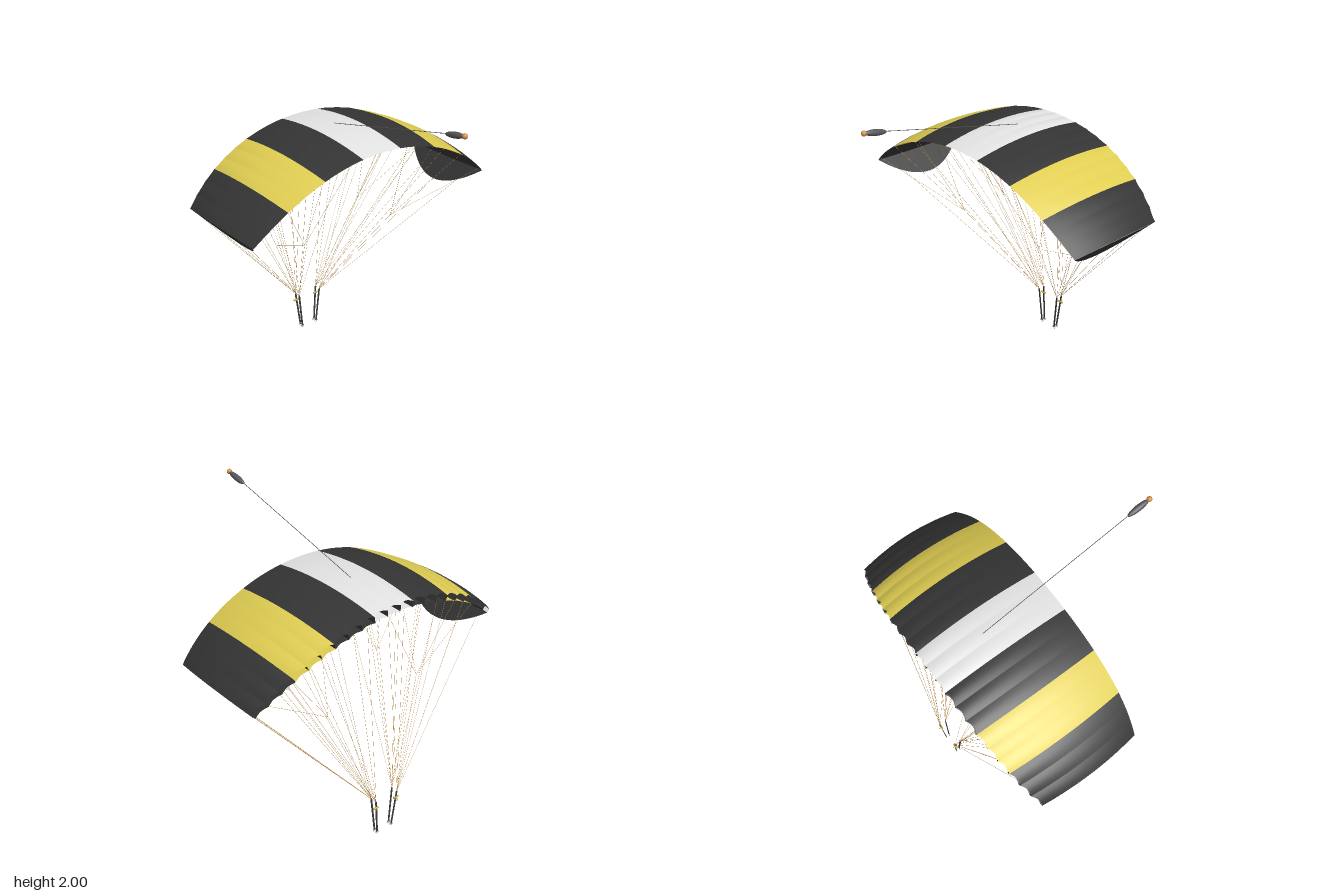
import * as THREE from 'three';
import { mergeGeometries } from 'three/addons/utils/BufferGeometryUtils.js';

const mat = (name, color, side = THREE.FrontSide) => {
  const m = new THREE.MeshStandardMaterial({ color, side });
  m.name = name;
  return m;
};

const PANELS = 7, CELLS_PER_PANEL = 3, CELLS = PANELS * CELLS_PER_PANEL;
const SPAN = THREE.MathUtils.degToRad(45.5); // half angle of the canopy arc
const ARC_Y = 0.33;                          // height of the arc centre

// Point on the canopy. s: -1..1 across the span, t: 0 tail .. 1 nose.
function canopyPoint(s, t, top) {
  const u = Math.abs(s), a = s * SPAN;
  const puff = Math.abs(Math.sin(Math.PI * (s + 1) / 2 * CELLS));
  const tail = 0.075 - 0.06 * u ** 4;
  const nose = -0.798 + 0.1 * u ** 3 + 0.016 * puff; // nose is scooped between ribs
  const grow = t * t;
  const r = top
    ? 1.322 + 0.17 * t * (1 - t) + 0.014 * t + 0.009 * puff * grow
    : 1.322 - (0.026 * Math.sin(Math.min(t / 0.7, 1) * Math.PI / 2)) * (1 - 0.6 * u ** 3) - 0.002 * puff * grow;
  return new THREE.Vector3(Math.sin(a) * r, ARC_Y + Math.cos(a) * r, THREE.MathUtils.lerp(tail, nose, t));
}

// Surface grid from a function of (u, v), each 0..1
function grid(fn, nu, nv) {
  const pos = [], idx = [];
  for (let j = 0; j <= nv; j++)
    for (let i = 0; i <= nu; i++) pos.push(...fn(i / nu, j / nv).toArray());
  for (let j = 0; j < nv; j++)
    for (let i = 0; i < nu; i++) {
      const a = j * (nu + 1) + i, b = a + 1, c = a + nu + 1, d = c + 1;
      idx.push(a, b, c, b, d, c);
    }
  const g = new THREE.BufferGeometry();
  g.setAttribute('position', new THREE.Float32BufferAttribute(pos, 3));
  g.setIndex(idx);
  g.computeVertexNormals();
  return g;
}

// Straight rod or strap between two points
function between(geometry, a, b) {
  const dir = b.clone().sub(a);
  const q = new THREE.Quaternion().setFromUnitVectors(new THREE.Vector3(0, 1, 0), dir.clone().normalize());
  return geometry.applyQuaternion(q).translate(...a.clone().add(b).multiplyScalar(0.5).toArray());
}
const rod = (a, b, r, sides = 4) => between(new THREE.CylinderGeometry(r, r, a.distanceTo(b), sides), a, b);

export function createModel() {
  const model = new THREE.Group();
  model.name = 'parafoil';
  const black = mat('black fabric', 0x343434, THREE.DoubleSide);
  const yellow = mat('yellow fabric', 0xdfcd52, THREE.DoubleSide);
  const white = mat('white fabric', 0xe4e4e4, THREE.DoubleSide);
  const webbing = mat('dark webbing', 0x3a3a3c);
  const tan = mat('tan cord', 0xc4954a);
  const gold = mat('gold toggle', 0xd0bc48);
  const steel = mat('steel', 0xb0b0b0);
  const slate = mat('slate fabric', 0x58585c);
  const orange = mat('orange cap', 0xd09048);
  const v = (x, y, z) => new THREE.Vector3(x, y, z);
  const add = (name, geo, material, parent = model) => {
    const m = new THREE.Mesh(geo, material);
    m.name = name;
    parent.add(m);
  };

  // Canopy: seven coloured panels of three inflated cells, open at the nose
  const colours = [black, yellow, black, white, black, yellow, black];
  for (let p = 0; p < PANELS; p++) {
    const skins = { top: [], bottom: [] };
    for (let c = 0; c < CELLS_PER_PANEL; c++) {
      const s0 = (p * CELLS_PER_PANEL + c) / CELLS * 2 - 1, w = 2 / CELLS;
      skins.top.push(grid((a, b) => canopyPoint(s0 + a * w, b, true), 8, 16));
      skins.bottom.push(grid((a, b) => canopyPoint(s0 + (1 - a) * w, b, false), 8, 16));
    }
    add('topPanel', mergeGeometries(skins.top), colours[p]);
    add('bottomPanel', mergeGeometries(skins.bottom), colours[p]);
  }

  // Dark ribs between cells, pale ribs closing both tips
  const rib = (s) => grid((a, b) => canopyPoint(s, b, true).lerp(canopyPoint(s, b, false), a), 1, 16);
  const inner = [];
  for (let i = 1; i < CELLS; i++) inner.push(rib(i / CELLS * 2 - 1));
  add('innerRibs', mergeGeometries(inner), black);
  add('tipRibs', mergeGeometries([rib(-1), rib(1)]), white);

  // Everything mirrored left and right
  for (const side of [1, -1]) {
    const half = new THREE.Group();
    half.name = side > 0 ? 'leftRigging' : 'rightRigging';
    model.add(half);
    const mx = (p) => v(p.x * side, p.y, p.z);

    // Stabiliser flap hanging from the tip toward the risers
    const flap = (t, k) => canopyPoint(1, t, false)
      .addScaledVector(v(-0.655, -0.755, 0), k * 0.185 * (1 - (2 * t - 1) ** 2));
    add('stabiliser', grid((a, b) => mx(flap(b, a)), 4, 24), black, half);

    // Risers: a front and a rear strap, with link rings at the foot
    const straps = [], rings = [];
    const rearTop = v(0.09, 0.28, -0.762), frontTop = v(0.09, 0.28, -0.808);
    for (const [top, z] of [[rearTop, -0.775], [frontTop, -0.8]]) {
      const a = mx(v(0.062, 0.014, z)), b = mx(top);
      straps.push(between(new THREE.BoxGeometry(0.013, a.distanceTo(b), 0.003), a, b));
      rings.push(new THREE.TorusGeometry(0.0115, 0.002, 6, 16).translate(side * 0.062, 0.0135, z));
    }
    add('risers', mergeGeometries(straps), webbing, half);
    add('linkRings', mergeGeometries(rings), steel, half);

    // Brake toggle and its guide ring
    add('toggle', rod(v(side * 0.068, 0.23, -0.806), v(side * 0.108, 0.23, -0.806), 0.007, 10), gold, half);
    add('guideRing', new THREE.TorusGeometry(0.009, 0.0015, 6, 14)
      .rotateY(Math.PI / 2).translate(side * 0.085, 0.22, -0.815), steel, half);

    // Suspension lines to each panel seam and to the flap edge
    const lines = [];
    const line = (a, b) => lines.push(rod(mx(a), mx(b), 0.0009));
    for (const [t, foot] of [[0.22, rearTop], [0.5, rearTop], [0.75, frontTop], [0.92, frontTop]]) {
      for (const seam of [1, 3, 5]) line(foot, canopyPoint(seam / PANELS, t, false));
      line(foot, flap(t, 1));
    }

    // Cascaded lines to the tail and to mid chord
    const cascades = [
      [rearTop, v(0.365, 0.98, -0.28), [[0.21, 0.02], [0.43, 0.02], [0.71, 0.02], [0.97, 0.02]]],
      [frontTop, v(0.365, 0.98, -0.65), [[0.21, 0.5], [0.43, 0.5], [0.71, 0.85], [0.95, 0.85]]],
    ];
    for (const [foot, knot, ends] of cascades) {
      line(foot, knot);
      for (const [s, t] of ends) line(knot, canopyPoint(s, t, false));
    }
    add('suspensionLines', mergeGeometries(lines), tan, half);
  }

  // Pilot chute trailing on its bridle
  add('bridle', rod(v(0, 1.7, -0.43), v(0, 1.958, 0.66), 0.002, 6), slate);
  const pod = new THREE.SphereGeometry(1, 20, 14).scale(0.02, 0.08, 0.02);
  add('pilotChute', between(pod, v(0, 1.953, 0.645), v(0, 1.984, 0.8)), slate);
  add('pilotCap', new THREE.SphereGeometry(0.0175, 16, 12).translate(0, 1.986, 0.804), orange);

  return model;
}
